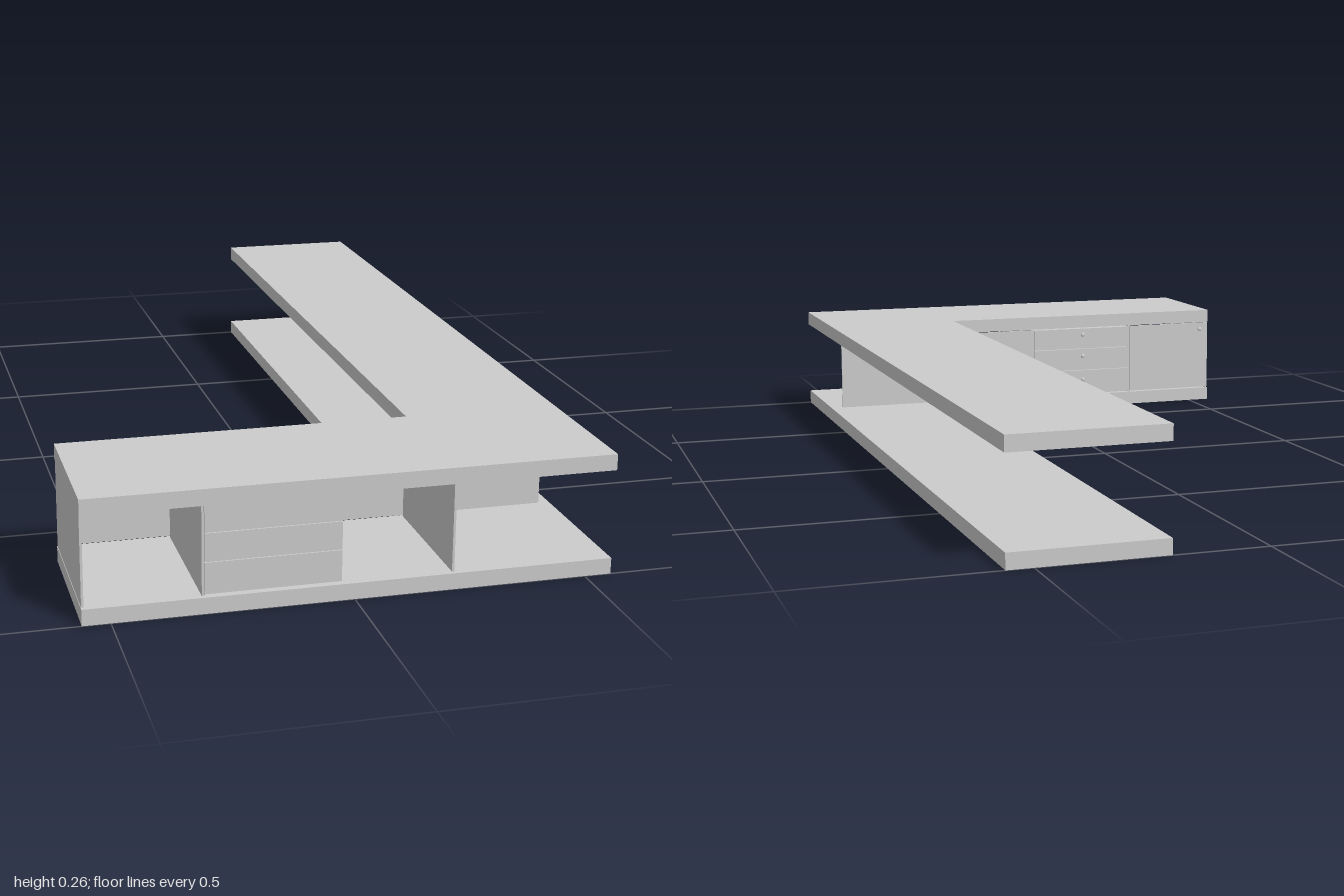
import * as THREE from 'three';

const material = new THREE.MeshStandardMaterial({ color: 0xcccccc });

// Box given by its lower and upper limits on each axis
function addBox(group, name, [x0, x1], [y0, y1], [z0, z1]) {
  const mesh = new THREE.Mesh(new THREE.BoxGeometry(x1 - x0, y1 - y0, z1 - z0), material);
  mesh.position.set((x0 + x1) / 2, (y0 + y1) / 2, (z0 + z1) / 2);
  mesh.name = name;
  group.add(mesh);
}

// L-shaped slab: a short arm along x and a long arm along z
function addSlab(group, name, y, height) {
  const outline = [[-0.558, 1], [0.558, 1], [0.558, -1], [0.213, -1], [0.213, 0.665], [-0.558, 0.665]];
  const shape = new THREE.Shape(outline.map(([x, z]) => new THREE.Vector2(x, -z)));
  const geometry = new THREE.ExtrudeGeometry(shape, { depth: height, bevelEnabled: false });
  geometry.rotateX(-Math.PI / 2);
  const mesh = new THREE.Mesh(geometry, material);
  mesh.position.y = y;
  mesh.name = name;
  group.add(mesh);
}

// Small turned knob pointing towards -z
function addKnob(group, x, y) {
  const profile = [[0, 0], [0.003, 0], [0.003, 0.004], [0.006, 0.007], [0.006, 0.009], [0.004, 0.011], [0, 0.011]];
  const geometry = new THREE.LatheGeometry(profile.map(([r, h]) => new THREE.Vector2(r, h)), 16);
  geometry.rotateX(-Math.PI / 2);
  const mesh = new THREE.Mesh(geometry, material);
  mesh.position.set(x, y, 0.666);
  mesh.name = 'knob';
  group.add(mesh);
}

export function createModel() {
  const model = new THREE.Group();
  model.name = 'cornerCounter';

  // Base and worktop
  addSlab(model, 'base', 0, 0.035);
  addSlab(model, 'worktop', 0.23, 0.035);

  // Upright panels of the cabinet
  const height = [0.035, 0.23];
  const depth = [0.671, 0.99];
  for (const x of [-0.557, -0.315, 0.21]) {
    addBox(model, 'uprightPanel', [x, x + 0.005], height, depth);
  }

  // Doors on the inner side, the wide one reaching behind the corner
  const doorHeight = [0.038, 0.228];
  addBox(model, 'sideDoor', [-0.557, -0.314], doorHeight, [0.666, 0.671]);
  addBox(model, 'cornerDoor', [-0.023, 0.53], doorHeight, [0.666, 0.671]);
  addKnob(model, -0.53, 0.21);
  addKnob(model, 0.19, 0.21);

  // Stack of three full-depth drawers
  const edges = [0.038, 0.107, 0.169, 0.228];
  const knobHeights = [0.08, 0.148, 0.21];
  for (let i = 0; i < 3; i++) {
    addBox(model, 'drawer', [-0.309, -0.025], [edges[i], edges[i + 1] - 0.0015], [0.666, 0.99]);
    addKnob(model, -0.168, knobHeights[i]);
  }

  return model;
}
